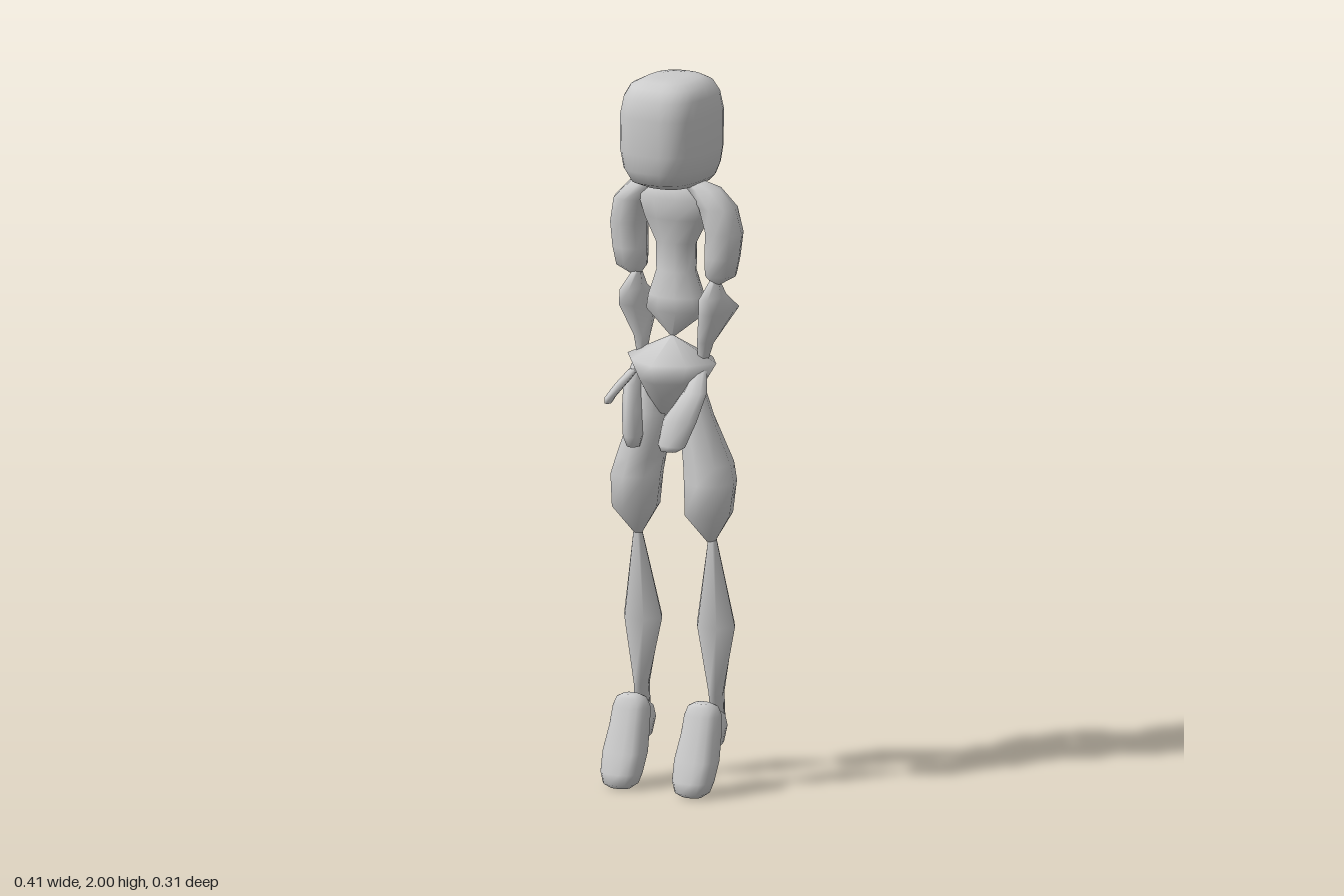
import * as THREE from 'three';

const skin = new THREE.MeshStandardMaterial({ color: 0xcccccc });
skin.name = 'plain grey';

// Closed skin over rings [x, y, z, radiusX, radiusZ] listed from bottom to top; p shapes the ring (1 diamond, 2 ellipse, 4 boxy)
function loft(name, rings, { n = 8, p = 2, side = 1 } = {}) {
  const pos = [], index = [];
  const f = v => Math.sign(v) * Math.pow(Math.abs(v), 2 / p);
  for (const [x, y, z, rx, rz] of rings) {
    for (let i = 0; i < n; i++) {
      const a = (i / n) * Math.PI * 2;
      pos.push(side * x + rx * f(Math.cos(a)), y, z + rz * f(Math.sin(a)));
    }
  }
  for (let r = 0; r < rings.length - 1; r++) {
    for (let i = 0; i < n; i++) {
      const a = r * n + i, b = r * n + (i + 1) % n;
      index.push(a, a + n, b, b, a + n, b + n);
    }
  }
  // End caps
  const first = rings[0], last = rings[rings.length - 1];
  const c0 = pos.length / 3, c1 = c0 + 1, top = (rings.length - 1) * n;
  pos.push(side * first[0], first[1], first[2], side * last[0], last[1], last[2]);
  for (let i = 0; i < n; i++) {
    const j = (i + 1) % n;
    index.push(c0, i, j, c1, top + j, top + i);
  }
  const g = new THREE.BufferGeometry();
  g.setAttribute('position', new THREE.Float32BufferAttribute(pos, 3));
  g.setIndex(index);
  g.computeVertexNormals();
  const mesh = new THREE.Mesh(g, skin);
  mesh.name = name;
  return mesh;
}

export function createModel() {
  const model = new THREE.Group();
  model.name = 'figure';

  // Head: boxy egg with a square lower back edge
  model.add(loft('head', [
    [0, 1.69, -0.06, 0.04, 0.085], [0, 1.695, -0.04, 0.07, 0.11], [0, 1.715, -0.015, 0.095, 0.135],
    [0, 1.75, -0.007, 0.114, 0.144], [0, 1.80, -0.005, 0.124, 0.148], [0, 1.90, -0.005, 0.125, 0.148],
    [0, 1.95, -0.005, 0.116, 0.137], [0, 1.98, -0.005, 0.1, 0.118], [0, 1.995, -0.005, 0.07, 0.09],
    [0, 2.0, -0.005, 0.04, 0.055],
  ], { n: 28, p: 2.7 }));

  // Chest: broad shoulders, narrow waist, flared lower edge drawn to a point
  model.add(loft('chest', [
    [0, 1.265, -0.01, 0.004, 0.004], [0, 1.34, -0.035, 0.095, 0.065], [0, 1.38, -0.03, 0.085, 0.06],
    [0, 1.45, -0.03, 0.06, 0.045], [0, 1.53, -0.03, 0.062, 0.045], [0, 1.60, -0.03, 0.10, 0.06],
    [0, 1.66, -0.03, 0.12, 0.07], [0, 1.70, -0.03, 0.07, 0.05],
  ], { n: 10 }));

  // Pelvis: star-like hips tapering to the crotch
  model.add(loft('pelvis', [
    [0, 1.05, -0.01, 0.045, 0.03], [0, 1.10, -0.01, 0.085, 0.065], [0, 1.15, -0.005, 0.105, 0.10],
    [0, 1.205, -0.005, 0.14, 0.115], [0, 1.27, -0.005, 0.004, 0.004],
  ], { n: 8, p: 1.5 }));

  for (const side of [1, -1]) {
    const label = side > 0 ? 'left' : 'right';
    const add = (part, rings, opts = {}) => model.add(loft(label + part, rings, { side, ...opts }));

    // Arm
    add('UpperArm', [
      [0.125, 1.42, -0.03, 0.008, 0.01], [0.14, 1.45, -0.03, 0.045, 0.045], [0.145, 1.50, -0.03, 0.052, 0.05],
      [0.15, 1.57, -0.032, 0.055, 0.054], [0.135, 1.64, -0.025, 0.055, 0.055], [0.09, 1.69, -0.025, 0.05, 0.045],
      [0.06, 1.705, -0.025, 0.03, 0.03],
    ]);
    add('Forearm', [
      [0.095, 1.19, -0.005, 0.012, 0.012], [0.1, 1.26, -0.015, 0.026, 0.027], [0.125, 1.345, -0.045, 0.045, 0.085],
      [0.125, 1.39, -0.01, 0.028, 0.06], [0.122, 1.445, -0.03, 0.008, 0.01],
    ], { n: 6 });

    // Leg
    add('Thigh', [
      [0.115, 0.7, -0.02, 0.012, 0.012], [0.115, 0.78, -0.008, 0.065, 0.075], [0.116, 0.87, -0.015, 0.074, 0.078],
      [0.106, 0.92, -0.022, 0.07, 0.076], [0.075, 1.05, -0.01, 0.05, 0.05], [0.075, 1.16, 0, 0.02, 0.02],
    ]);
    add('Shin', [
      [0.118, 0.2, -0.05, 0.02, 0.03], [0.118, 0.27, -0.045, 0.02, 0.03], [0.115, 0.46, -0.047, 0.06, 0.058],
      [0.118, 0.73, -0.02, 0.008, 0.01],
    ], { n: 6 });

    // Foot pointing down, with a rounded heel behind the ankle
    add('Foot', [
      [0.113, 0.003, 0.08, 0.03, 0.025], [0.113, 0.015, 0.08, 0.047, 0.045], [0.113, 0.045, 0.075, 0.058, 0.048],
      [0.113, 0.1, 0.055, 0.063, 0.048], [0.113, 0.17, 0.03, 0.055, 0.048], [0.113, 0.22, 0.02, 0.052, 0.042],
      [0.113, 0.245, 0.02, 0.042, 0.032], [0.113, 0.255, 0.025, 0.022, 0.018],
    ], { n: 14, p: 2.4 });
    add('Heel', [
      [0.113, 0.115, -0.01, 0.022, 0.02], [0.113, 0.135, -0.02, 0.038, 0.035], [0.113, 0.18, -0.03, 0.042, 0.043],
      [0.113, 0.21, -0.035, 0.032, 0.035], [0.113, 0.235, -0.02, 0.015, 0.015],
    ], { n: 10 });
  }

  // Left hand lies flat across the thigh
  model.add(loft('leftHand', [
    [0.04, 0.965, 0.085, 0.025, 0.012], [0.047, 0.98, 0.08, 0.043, 0.02], [0.065, 1.05, 0.065, 0.052, 0.026],
    [0.1, 1.13, 0.04, 0.036, 0.025], [0.1, 1.2, 0.0, 0.014, 0.014],
  ]));

  // Right hand hangs edge-on with its thumb reaching forward
  model.add(loft('rightHand', [
    [-0.087, 0.96, 0.055, 0.018, 0.02], [-0.088, 0.99, 0.055, 0.026, 0.035], [-0.095, 1.06, 0.045, 0.026, 0.04],
    [-0.105, 1.13, 0.025, 0.024, 0.035], [-0.1, 1.2, 0.0, 0.014, 0.014],
  ]));
  model.add(loft('rightThumb', [
    [-0.116, 1.095, 0.143, 0.009, 0.012], [-0.115, 1.11, 0.135, 0.013, 0.022],
    [-0.108, 1.14, 0.085, 0.014, 0.028], [-0.1, 1.17, 0.03, 0.012, 0.025],
  ]));

  return model;
}
